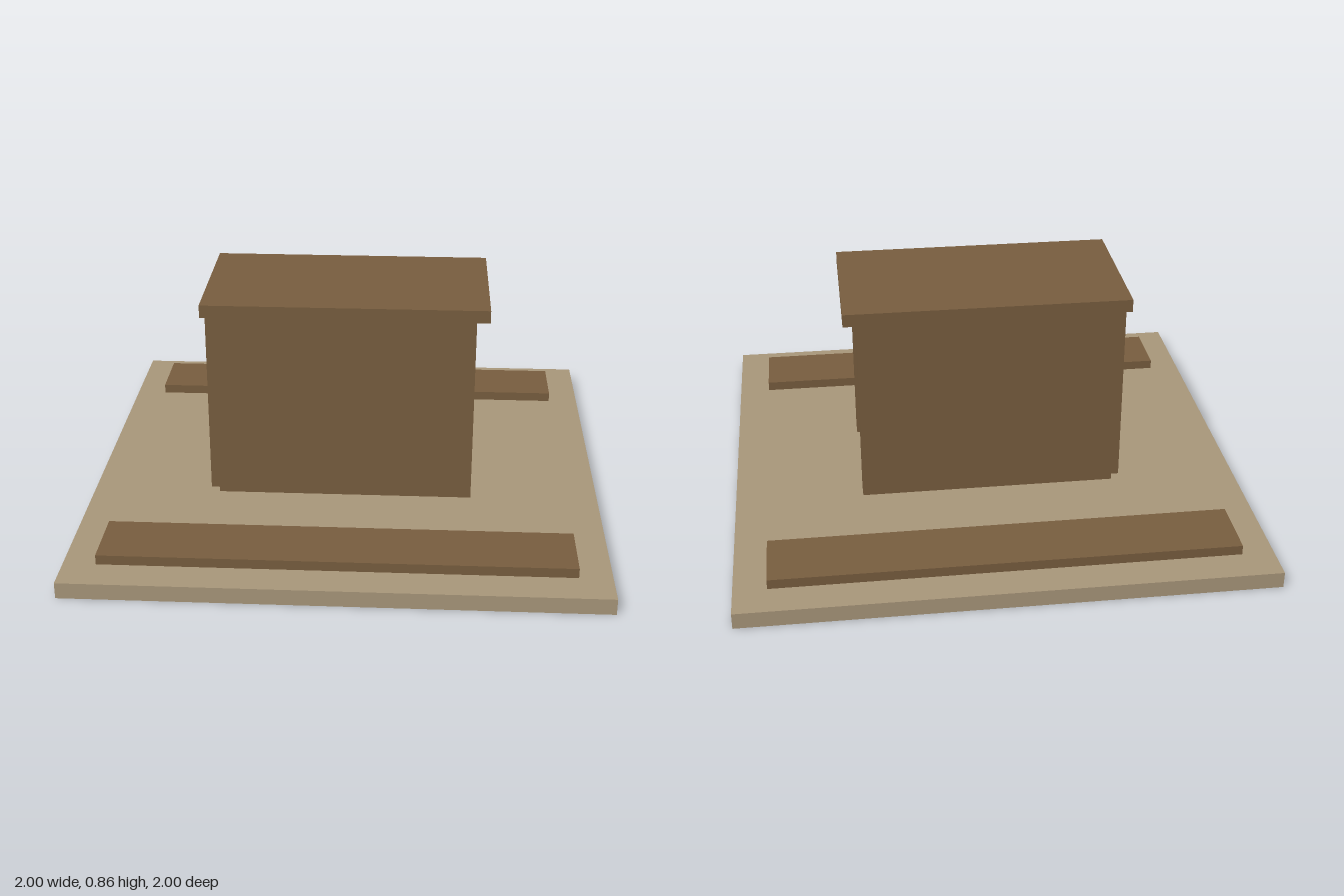
import * as THREE from 'three';

export function createModel() {
  const group = new THREE.Group();
  const wood = new THREE.MeshStandardMaterial({ color: 0x7a5f40 });
  wood.name = 'brown wood';
  const ground = new THREE.MeshStandardMaterial({ color: 0xab997c });
  ground.name = 'sand';
  const blue = new THREE.MeshStandardMaterial({ color: 0x8799b6 });
  blue.name = 'pale blue';

  // Box given by its size, centre x and z, and bottom y
  function box(name, material, [w, h, d], x, bottom, z) {
    const mesh = new THREE.Mesh(new THREE.BoxGeometry(w, h, d), material);
    mesh.name = name;
    mesh.position.set(x, bottom + h / 2, z);
    group.add(mesh);
  }

  const floor = 0.0625, wallHeight = 0.75;
  box('base', ground, [2, floor, 2], 0, 0, 0);

  // Side walls and the low planks in front of and behind the shelter
  for (const [side, s] of [['front', 1], ['back', -1]]) {
    box(side + 'Wall', wood, [1, wallHeight, 0.075], 0, floor, s * 0.25);
    box(side + 'Plank', wood, [1.75, 0.0375, 0.25], 0, 0.069, s * 0.75);
  }

  // Closed end, with a blue panel on its inner face
  box('endWall', wood, [0.075, wallHeight, 0.5], -0.5, floor, 0);
  box('endPanel', blue, [0.008, wallHeight, 0.425], -0.4585, floor, 0);

  box('roof', wood, [1.1, 0.05, 0.6], 0, floor + wallHeight, 0);
  return group;
}
